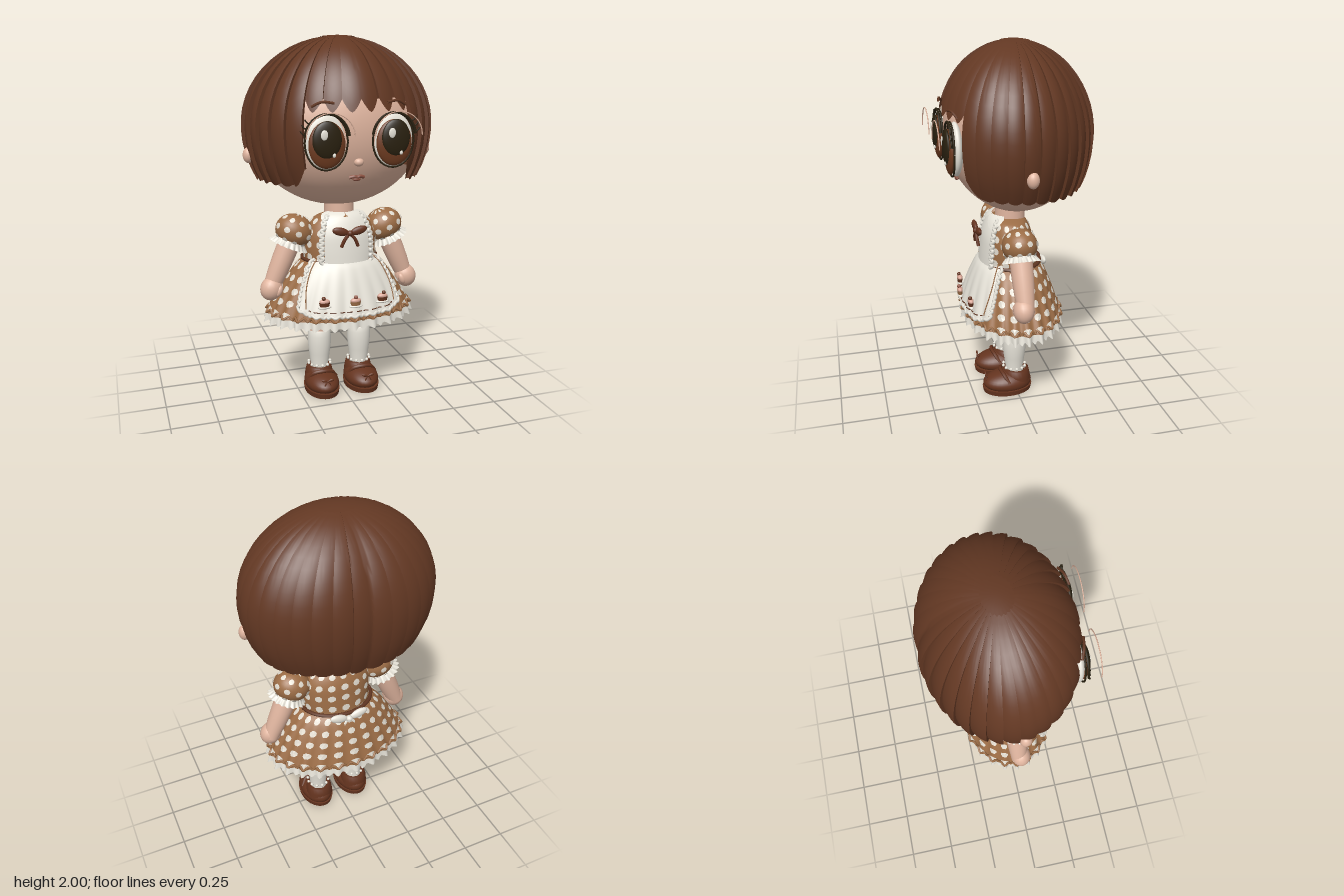
import * as THREE from 'three';
import { mergeVertices, mergeGeometries, toCreasedNormals } from 'three/addons/utils/BufferGeometryUtils.js';

const V = (x, y, z) => new THREE.Vector3(x, y, z);
const TAU = Math.PI * 2;
const mat = (name, color, double) => {
  const m = new THREE.MeshStandardMaterial({ color });
  m.name = name;
  if (double) m.side = THREE.DoubleSide;
  return m;
};

// Grid surface from f(u, v): u runs to the right seen from outside, v runs down
function patch(f, nu, nv, weld = true) {
  const pos = [], idx = [];
  for (let j = 0; j <= nv; j++) for (let i = 0; i <= nu; i++) pos.push(...f(i / nu, j / nv).toArray());
  for (let j = 0; j < nv; j++) for (let i = 0; i < nu; i++) {
    const a = j * (nu + 1) + i, c = a + nu + 1;
    idx.push(a, c, c + 1, a, c + 1, a + 1);
  }
  let g = new THREE.BufferGeometry();
  g.setAttribute('position', new THREE.Float32BufferAttribute(pos, 3));
  g.setIndex(idx);
  if (weld) g = mergeVertices(g, 1e-5);
  g.computeVertexNormals();
  return g;
}

// The same surface pushed outward by d
const lift = (f, d) => (u, v) => {
  const e = 0.004, v0 = Math.max(0, v - e), v1 = Math.min(1, v + e);
  const fu = f(u + e, v).sub(f(u - e, v)), fv = f(u, v1).sub(f(u, v0));
  return f(u, v).addScaledVector(fv.cross(fu).normalize(), d);
};

// Rounded spots laid out on a surface
function spots(f, cols, rows, size, keep) {
  const s = lift(f, 0.006), pos = [];
  for (let i = 0; i < cols; i++) for (let j = 0; j < rows; j++) {
    const u = i / cols, v = (j + 0.5) / rows;
    if (!keep(u, j)) continue;
    const rim = k => {
      const a = (k + 0.5) / 8 * TAU;
      return s(u + Math.cos(a) * size / cols, v + Math.sin(a) * size / rows).toArray();
    };
    const mid = s(u, v).toArray();
    for (let k = 0; k < 8; k++) pos.push(...mid, ...rim(k + 1), ...rim(k));
  }
  const g = new THREE.BufferGeometry();
  g.setAttribute('position', new THREE.Float32BufferAttribute(pos, 3));
  g.computeVertexNormals();
  return g;
}

export function createModel() {
  const hair = mat('hair brown', 0x633823, true), skin = mat('skin', 0xe0b59f), cream = mat('cream', 0xf0ece1, true);
  const fabric = mat('dress brown', 0x9c6d46, true), spotM = mat('spot white', 0xe0dace), leather = mat('shoe brown', 0x65341f);
  const dark = mat('eye dark', 0x2a2110), iris = mat('iris brown', 0x6e3b20), lip = mat('lip', 0x8f5443), pink = mat('frosting', 0xd8a696);
  const model = new THREE.Group();
  model.name = 'doll';

  const add = (parent, geo, m, name, x = 0, y = 0, z = 0) => {
    const o = new THREE.Mesh(geo, m);
    o.name = name;
    o.position.set(x, y, z);
    parent.add(o);
    return o;
  };
  const group = (parent, name, x, y, z) => {
    const g = new THREE.Group();
    g.name = name;
    g.position.set(x, y, z);
    parent.add(g);
    return g;
  };
  const ball = (p, m, name, x, y, z, rx, ry = rx, rz = rx, n = 20) =>
    add(p, new THREE.SphereGeometry(1, n, Math.ceil(n * 0.7)).scale(rx, ry, rz), m, name, x, y, z);
  const tube = (p, pts, r, m, name, closed = false, n = 24) =>
    add(p, new THREE.TubeGeometry(new THREE.CatmullRomCurve3(pts, closed), n, r, 6, closed), m, name);
  const arc = (p, cx, cy, z, rx, ry, a0, a1, r, m, name) => tube(p, Array.from({ length: 13 }, (_, i) => {
    const a = a0 + (a1 - a0) * i / 12;
    return V(cx + rx * Math.cos(a), cy + ry * Math.sin(a), z);
  }), r, m, name, false, 32);
  const lathe = (p, pts, m, name, x, y, z) =>
    add(p, new THREE.LatheGeometry(pts.map(q => new THREE.Vector2(...q)), 24), m, name, x, y, z);
  // Ribbon bow facing +z: two loops, knot, two tails
  function bow(p, m, name, x, y, z, w) {
    const g = group(p, name, x, y, z);
    for (const s of [-1, 1]) {
      ball(g, m, 'bowLoop', s * w * 0.55, w * 0.12, 0, w * 0.5, w * 0.24, w * 0.16).rotation.z = s * 0.25;
      tube(g, [V(0, 0, 0), V(s * w * 0.3, -w * 0.35, w * 0.05), V(s * w * 0.5, -w * 0.8, 0)], w * 0.1, m, 'bowTail', false, 8);
    }
    ball(g, m, 'bowKnot', 0, 0, w * 0.06, w * 0.17);
    return g;
  }

  // Head
  const head = group(model, 'head', 0, 0, 0);
  ball(head, skin, 'face', 0, 1.53, -0.02, 0.495, 0.44, 0.375, 48);
  ball(head, skin, 'nose', 0, 1.37, 0.328, 0.026, 0.022, 0.024);
  tube(head, [V(-0.04, 1.287, 0.296), V(-0.015, 1.293, 0.303), V(0, 1.289, 0.304), V(0.015, 1.293, 0.303), V(0.04, 1.287, 0.296)], 0.009, lip, 'upperLip');
  ball(head, lip, 'lowerLip', 0, 1.277, 0.295, 0.022, 0.01, 0.012);
  add(head, new THREE.CylinderGeometry(0.08, 0.085, 0.2, 24), skin, 'neck', 0, 1.06, 0);
  for (const s of [-1, 1]) {
    ball(head, skin, 'ear', s * 0.505, 1.385, 0.01, 0.03, 0.042, 0.032);
    // Eye layers
    const x = s * 0.178, eye = group(head, 'eye', x, 1.48, 0);
    ball(eye, cream, 'eyeWhite', 0, 0, 0.33, 0.112, 0.14, 0.037, 36);
    arc(eye, 0, 0, 0.352, 0.112, 0.14, 0, TAU, 0.005, dark, 'eyeRim');
    ball(eye, iris, 'iris', 0, -0.012, 0.36, 0.096, 0.118, 0.025, 32);
    ball(eye, dark, 'pupil', 0.004 * s, 0.014, 0.375, 0.076, 0.094, 0.02, 32);
    ball(eye, cream, 'highlight', -0.022, 0.04, 0.392, 0.019, 0.026, 0.006);
    ball(eye, cream, 'smallHighlight', 0.03, -0.062, 0.386, 0.009, 0.011, 0.006);
    arc(eye, 0, 0.012, 0.365, 0.117, 0.128, 0.15, Math.PI - 0.15, 0.007, dark, 'upperLashLine');
    for (const k of [0, 1, 2]) {
      const a = 0.2 + k * 0.24, cx = s * 0.11 * Math.cos(a), cy = 0.012 + 0.13 * Math.sin(a);
      tube(eye, [V(cx, cy, 0.365), V(cx + s * 0.018, cy + 0.008, 0.367), V(cx + s * 0.03, cy + 0.024, 0.365)], 0.004, dark, 'lash', false, 6);
    }
    arc(eye, 0, 0.03, 0.428, 0.125, 0.12, 0, Math.PI, 0.003, skin, 'eyelidCrease');
    tube(head, [V(s * 0.25, 1.655, 0.33), V(s * 0.2, 1.678, 0.348), V(s * 0.14, 1.672, 0.36)], 0.007, hair, 'brow');
  }

  // Hair: overlapping locks running from the crown to the hem
  const hairPt = (a, p, s) => V(0.53 * Math.sin(p) * s * Math.sin(a),
    1.53 + Math.cos(p) * (Math.cos(p) > 0 ? 0.47 : 0.55), -0.025 + 0.41 * Math.sin(p) * s * Math.cos(a));
  const hem = (i, t) => i < 3 ? 1.625 + 0.065 * Math.abs(2 * t - 1) ** 1.5
    : i === 3 ? 1.24 + 0.1 * (1 - t) ** 2 : 1.24 + 0.012 * (2 * t - 1) ** 2;
  const locks = [];
  for (const s of [-1, 1]) for (let i = 0; i < 16; i++) {
    locks.push(patch((u, v) => {
      const k = s > 0 ? u : 1 - u, t = Math.max(0, (k * 9 - 1) / 8), h = hem(i, t) - 1.53;
      const p = 0.14 + (Math.acos(h / (h > 0 ? 0.47 : 0.55)) - 0.14) * v;
      const tuck = k < 0.01 ? 0.05 : 0.042 * t * t;
      return hairPt(s * (i + t) / 16 * Math.PI, p, 1 - tuck);
    }, 9, 16, false));
  }
  add(head, toCreasedNormals(mergeGeometries(locks), 0.6), hair, 'hairLocks');
  add(head, patch((u, v) => hairPt(u * TAU, v * 0.185 * (1 + 0.05 * Math.cos(u * TAU * 24)), 1).add(V(0, 0.003, 0)), 144, 4), hair, 'crownCap');

  // Dress bodice
  const dress = group(model, 'dress', 0, 0, 0);
  const side = new THREE.CatmullRomCurve3([V(0.075, 1.045, 0.07), V(0.15, 1.02, 0.1), V(0.195, 0.95, 0.13), V(0.205, 0.87, 0.142), V(0.2, 0.78, 0.15)]);
  const bodice = (u, v) => {
    const q = side.getPoint(v);
    return V(q.x * Math.sin(u * TAU), q.y, 0.012 + q.z * Math.cos(u * TAU));
  };
  const away = (u, lim) => Math.min(u, 1 - u) > lim;
  add(dress, patch(bodice, 48, 16), fabric, 'bodice');
  add(dress, spots(bodice, 16, 5, 0.3, (u, j) => j > 0 && away(u, 0.11)), spotM, 'bodiceSpots');

  // Pleated skirt with lace hem
  const skirt = (u, v) => {
    const a = u * TAU, w = v ** 0.7, r = 1 + 0.025 * v * Math.cos(24 * a);
    return V((0.2 + 0.215 * w) * r * Math.sin(a), 0.79 - 0.31 * v, (0.155 + 0.12 * w) * r * Math.cos(a));
  };
  add(dress, patch(skirt, 192, 12), fabric, 'skirt');
  add(dress, spots(skirt, 24, 5, 0.29, u => away(u, 0.13)), spotM, 'skirtSpots');
  add(dress, patch((u, v) => {
    const p = skirt(u, 1), wave = Math.cos(u * TAU * 48), r = 1 + v * (0.02 + 0.018 * wave);
    return V(p.x * r, 0.492 - v * (0.043 + 0.008 * wave), p.z * r);
  }, 288, 2), cream, 'laceHem');
  const around = (f, n) => Array.from({ length: n }, (_, i) => f(i / n, i));
  const hemLine = lift(skirt, 0.008), waist = lift(skirt, 0.006);
  tube(dress, around((u, i) => hemLine(u, i % 2 ? 0.9 : 0.96), 96), 0.007, fabric, 'hemRuffle', true, 384);
  tube(dress, around(u => waist(u, 0.01), 32), 0.011, hair, 'waistBand', true, 96);

  // Apron: skirt panel, bib, ruffled edges, collar
  const apron = group(model, 'apron', 0, 0, 0);
  const panel = d => (s, v) => {
    const w = 0.155 - 0.03 * v, end = 0.89 - 0.1 * Math.abs(s) ** 6;
    return lift(skirt, d)(s * w, v * end);
  };
  const cloth = panel(0.018), stitch = panel(0.022);
  add(apron, patch((u, v) => cloth(2 * u - 1, v), 64, 14), cream, 'apronSkirt');
  const edge = [];
  for (let i = 0; i <= 20; i++) edge.push(cloth(-1 - (i % 2) * 0.06, i / 20));
  for (let i = 1; i < 36; i++) edge.push(cloth(-1 + i / 18, 1 - (i % 2) * 0.03));
  for (let i = 20; i >= 0; i--) edge.push(cloth(1 + (i % 2) * 0.06, i / 20));
  tube(apron, edge, 0.009, cream, 'apronRuffle', false, 300);
  for (const s of [-1, 1]) tube(apron, Array.from({ length: 9 }, (_, i) => stitch(s * 0.9, i / 9)), 0.003, fabric, 'apronSideStitch');
  for (let i = 0; i < 12; i++) {
    const c = -0.8 + i * 1.6 / 11;
    tube(apron, [-0.045, 0, 0.045].map(d => stitch(c + d, 0.9)), 0.003, hair, 'apronStitch', false, 4);
  }
  const bib = lift(bodice, 0.016), frill = lift(bodice, 0.02), collar = lift(bodice, 0.024);
  add(apron, patch((u, v) => bib((u - 0.5) * 0.2, 0.2 + 0.8 * v), 20, 12), cream, 'bib');
  for (const s of [-1, 1]) {
    tube(apron, Array.from({ length: 21 }, (_, i) => frill(s * (0.105 + 0.014 * (i % 2)), 0.18 + i * 0.04)), 0.011, cream, 'bibRuffle', false, 100);
    add(apron, patch((u, v) => collar(s * 0.085 + (u - 0.5) * 0.165, 0.05 + v * (0.12 + 0.2 * Math.sin(u * Math.PI))), 16, 6), cream, 'collar');
  }
  bow(apron, leather, 'chestBow', 0, 0.965, 0.19, 0.095);
  bow(apron, cream, 'backBow', 0, 0.765, -0.175, 0.11).rotation.y = Math.PI;

  // Small cakes on the apron
  for (const x of [-0.165, 0, 0.165]) {
    const z = 0.293 - 1.1 * x * x, cake = group(apron, 'cake', x, 0.585, z);
    ball(cake, cream, 'plate', 0, 0, 0, 0.038, 0.009, 0.016);
    add(cake, new THREE.CylinderGeometry(0.031, 0.025, 0.024, 16).scale(1, 1, 0.5), x ? leather : fabric, 'sponge', 0, 0.015, 0);
    ball(cake, pink, 'frosting', 0, 0.032, 0, 0.029, 0.015, 0.016);
    ball(cake, x ? leather : lip, 'cherry', Math.sign(x) * 0.006, 0.051, 0.004, 0.011);
  }

  // Sleeves and arms
  const puff = (u, v) => {
    const r = Math.sin(v * Math.PI);
    return V(0.107 * r * Math.sin(u * TAU), 0.092 * Math.cos(v * Math.PI), 0.095 * r * Math.cos(u * TAU));
  };
  for (const s of [-1, 1]) {
    const arm = group(model, s > 0 ? 'leftArm' : 'rightArm', s * 0.262, 0.957, 0.012);
    arm.rotation.z = s * 0.41;
    add(arm, patch(puff, 36, 20), fabric, 'puffSleeve');
    add(arm, spots(puff, 10, 5, 0.27, (u, j) => j < 4), spotM, 'sleeveSpots');
    add(arm, patch((u, v) => {
      const r = 0.082 + v * (0.027 + 0.007 * Math.cos(u * TAU * 20));
      return V(r * Math.sin(u * TAU), -0.055 - 0.035 * v, r * 0.92 * Math.cos(u * TAU));
    }, 160, 2), cream, 'sleeveRuffle');
    lathe(arm, [[0.045, -0.36], [0.048, -0.32], [0.056, -0.24], [0.06, -0.16], [0.062, -0.05]], skin, 'forearm', 0, 0, 0);
    ball(arm, skin, 'hand', 0, -0.345, 0.012, 0.062, 0.068, 0.056);
    ball(arm, skin, 'thumb', -s * 0.035, -0.34, 0.045, 0.02, 0.034, 0.02);
  }

  // Legs, socks and shoes
  for (const s of [-1, 1]) {
    const leg = group(model, s > 0 ? 'leftLeg' : 'rightLeg', s * 0.12, 0, 0);
    lathe(leg, [[0.055, 0.3], [0.06, 0.36], [0.064, 0.44], [0.075, 0.54], [0.08, 0.64]], skin, 'thigh', 0, 0, 0);
    lathe(leg, [[0.052, 0.1], [0.05, 0.15], [0.06, 0.22], [0.067, 0.28], [0.066, 0.33], [0.062, 0.36], [0.056, 0.365]], cream, 'sock', 0, 0, 0.004);
    for (let i = 0; i < 12; i++) {
      const a = i / 12 * TAU;
      ball(leg, cream, 'sockBead', 0.064 * Math.sin(a), 0.158, 0.004 + 0.064 * Math.cos(a), 0.009, 0.009, 0.009, 8);
    }
    // Shoe upper: flat below, rising toward the heel
    const upper = new THREE.SphereGeometry(1, 32, 20), p = upper.attributes.position;
    for (let i = 0; i < p.count; i++) {
      const y = p.getY(i), z = p.getZ(i);
      p.setXYZ(i, p.getX(i) * 0.096, Math.max(-0.028, y * (0.068 - 0.012 * z)), z * 0.142);
    }
    upper.computeVertexNormals();
    add(leg, upper, leather, 'shoeUpper', 0, 0.06, 0.046);
    add(leg, new THREE.CylinderGeometry(0.099, 0.095, 0.028, 36).scale(1, 1, 1.47), leather, 'shoeSole', 0, 0.021, 0.046);
    lathe(leg, [[0.082, 0.06], [0.08, 0.1], [0.072, 0.135], [0.06, 0.142], [0.05, 0.13]], leather, 'shoeCollar', 0, 0, -0.008);
    tube(leg, [V(-0.085, 0.08, 0.05), V(-0.05, 0.122, 0.075), V(0, 0.132, 0.085), V(0.05, 0.122, 0.075), V(0.085, 0.08, 0.05)], 0.011, leather, 'shoeStrap');
    bow(leg, leather, 'shoeBow', 0, 0.108, 0.172, 0.035);
  }
  return model;
}
